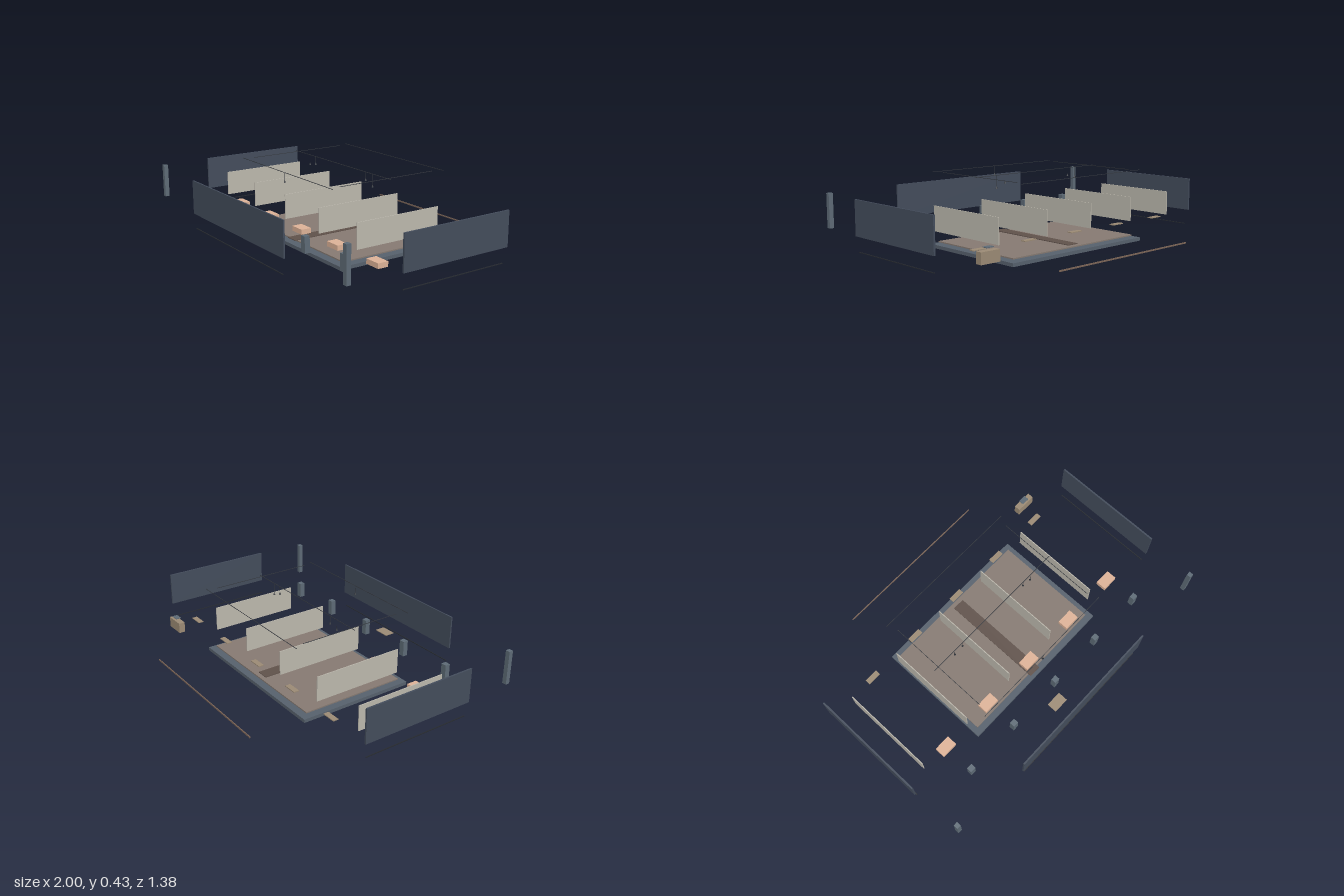
import * as THREE from 'three';

const mat = (color) => new THREE.MeshStandardMaterial({ color });
const M = {
  slab: mat(0x56606c), wall: mat(0x434c5b), post: mat(0x5d6a75), floor: mat(0x857971),
  runner: mat(0x5f514a), partition: mat(0xbbb7ac), peach: mat(0xdcb196),
  brown: mat(0x9b8a74), strip: mat(0x262a30), backStrip: mat(0x7a6456), wire: mat(0x33373d),
};

export function createModel() {
  const model = new THREE.Group();

  const add = (name, geometry, material, x, y, z) => {
    const mesh = new THREE.Mesh(geometry, material);
    mesh.name = name;
    mesh.position.set(x, y, z);
    model.add(mesh);
    return mesh;
  };
  // Box given by its extents on each axis
  const box = (name, material, [x0, x1], [y0, y1], [z0, z1]) =>
    add(name, new THREE.BoxGeometry(x1 - x0, y1 - y0, z1 - z0), material,
      (x0 + x1) / 2, (y0 + y1) / 2, (z0 + z1) / 2);
  const around = (c, size) => [c - size / 2, c + size / 2];

  // Base and floor layers
  box('baseSlab', M.slab, [-0.507, 0.507], [0, 0.02], [-0.353, 0.353]);
  box('floor', M.floor, [-0.474, 0.474], [0.029, 0.036], [-0.317, 0.317]);
  box('corridorRunner', M.runner, [-0.037, 0.037], [0.037, 0.041], [-0.29, 0.335]);

  // Outer walls, front corner posts and the strips beneath the walls
  const wallY = [0.13, 0.328];
  box('frontWall', M.wall, [-0.497, 0.497], wallY, [0.681, 0.69]);
  for (const s of [-1, 1]) {
    box('sideWall', M.wall, around(s * 0.995, 0.01), wallY, [-0.342, 0.342]);
    box('cornerPost', M.post, around(s * 0.97, 0.026), wallY, [0.634, 0.66]);
    box('sideStrip', M.strip, around(s * 0.984, 0.005), [0.04, 0.044], [-0.325, 0.335]);
  }
  box('frontStrip', M.strip, [-0.48, 0.48], [0.04, 0.044], [0.681, 0.686]);
  box('backStrip', M.backStrip, [-0.507, 0.507], [0.032, 0.04], [-0.689, -0.684]);

  // Five repeated bays: partition, bed, shelf and door post
  for (let i = 0; i < 5; i++) {
    const x = 0.011 + (i - 2) * 0.348;
    box('partition', M.partition, around(x - 0.173, 0.005), [0.107, 0.253], [-0.275, 0.273]);
    box('bed', M.peach, around(x, 0.098), [0.073, 0.102], [0.241, 0.304]);
    box('shelf', M.brown, around(x, 0.084), [0.114, 0.119], [-0.33, -0.298]);
    box('doorPost', M.post, around(x, 0.034), [0.083, 0.176], [0.457, 0.488]);
  }

  // Loose furniture
  box('counter', M.brown, around(0.745, 0.122), [0.074, 0.137], [-0.456, -0.418]);
  box('counterTop', M.post, around(0.746, 0.048), [0.152, 0.156], [-0.455, -0.423]);
  box('frontShelf', M.brown, [-0.112, -0.016], [0.096, 0.1], [0.531, 0.592]);

  // Overhead cables
  const wireY = 0.427, t = 0.0025;
  for (const z of [-0.372, 0, 0.372])
    box('longCable', M.wire, [-0.467, 0.465], around(wireY, t), around(z, t));
  for (const x of [-0.438, 0.438])
    box('crossCable', M.wire, around(x, t), around(wireY, t), [-0.312, 0.312]);

  // Hanging lamps: x, lowest point, z
  const lamps = [[-0.312, 0.364, 0], [-0.25, 0.377, 0], [0.246, 0.377, 0], [0.308, 0.352, 0], [0, 0.37, 0.372]];
  for (const [x, y, z] of lamps) {
    const length = wireY - y - 0.01;
    add('lampCord', new THREE.CylinderGeometry(0.001, 0.001, length, 6), M.wire, x, wireY - length / 2, z);
    add('lampShade', new THREE.CylinderGeometry(0.002, 0.006, 0.013, 12), M.wire, x, y + 0.0065, z);
  }
  return model;
}
